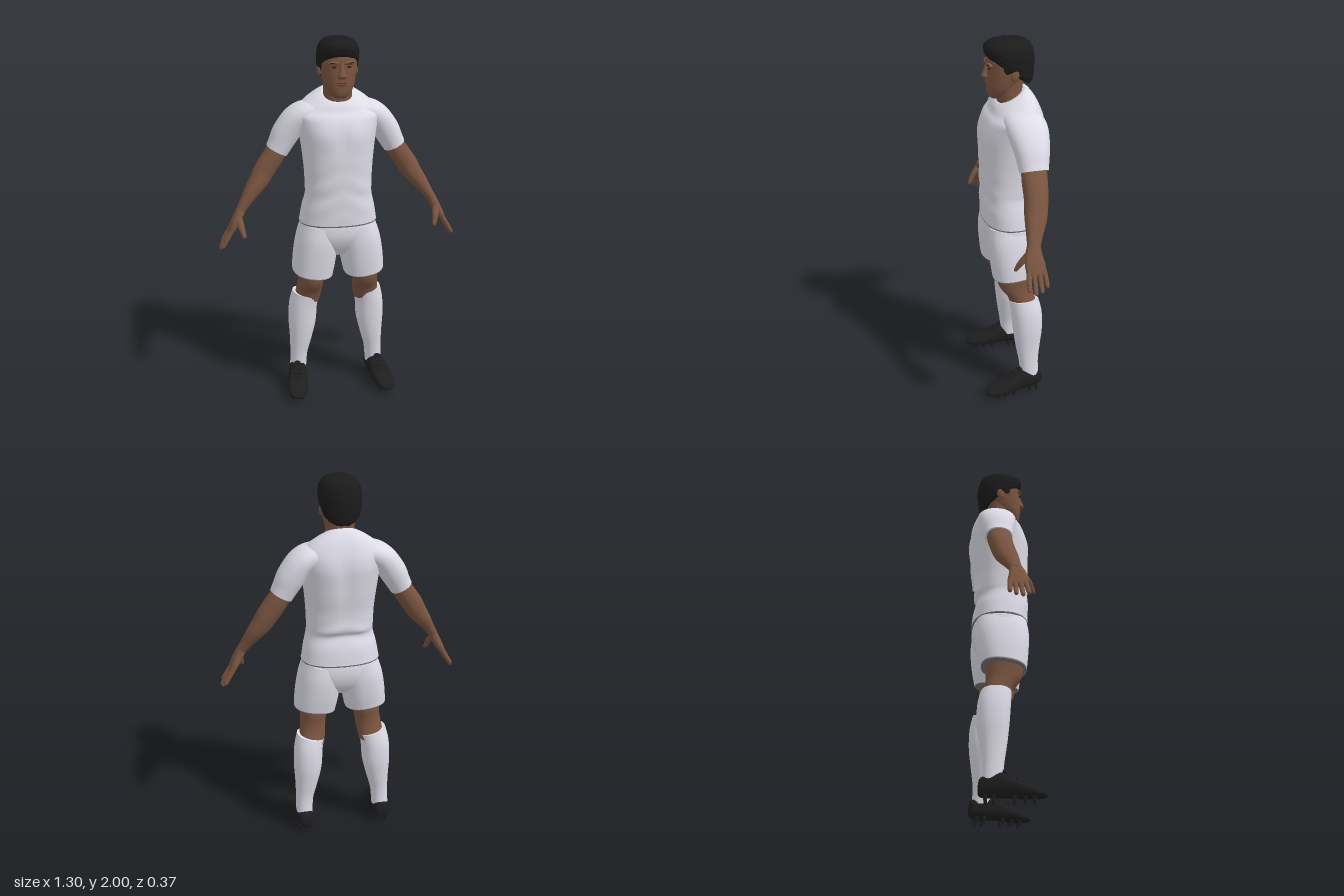
import * as THREE from 'three';

const mat = (name, color) => Object.assign(new THREE.MeshStandardMaterial({ color }), { name });
const SKIN = mat('brown skin', 0x7a5540);
const CLOTH = mat('white cloth', 0xdedde8);
const HAIR = mat('black hair', 0x1b1b1c);
const SHOE = mat('black boot', 0x1e1e1f);
const HEM = mat('grey hem', 0x77777e);
const LIP = mat('lips', 0x6b4038);
const EYE = mat('dark eyes', 0x2a201c);

// Smooth skin over cross-sections [x, y, halfWidth, zFront, zBack, tilt].
// Rings stand square to the path in the xy plane; tilt lifts the ring with z.
function loft(sections, { seg = 28, steps = 5, p = 2.2, shape } = {}) {
  const last = sections.length - 1, rows = [];
  const at = (i, k) => sections[THREE.MathUtils.clamp(i, 0, last)][k] ?? 0;
  for (let n = 0; n <= last * steps; n++) {
    const i = Math.min(Math.floor(n / steps), last - 1), t = n / steps - i;
    rows.push([0, 1, 2, 3, 4, 5].map((k) => {
      const [a, b, c, d] = [at(i - 1, k), at(i, k), at(i + 1, k), at(i + 2, k)];
      return b + 0.5 * t * (c - a + t * (2 * a - 5 * b + 4 * c - d + t * (3 * (b - c) + d - a)));
    }));
  }
  const pos = [], idx = [], v = new THREE.Vector3();
  const bend = (c) => Math.sign(c) * Math.abs(c) ** (2 / p);
  const ring = (r) => {
    const a = rows[Math.max(r - 1, 0)], b = rows[Math.min(r + 1, rows.length - 1)];
    const [x, y, w, zf, zb, tilt] = rows[r];
    const len = Math.hypot(b[0] - a[0], b[1] - a[1]) || 1;
    const ux = (b[1] - a[1]) / len, uy = -(b[0] - a[0]) / len;
    for (let j = 0; j < seg; j++) {
      const q = (j / seg) * Math.PI * 2, c = bend(Math.cos(q)) * w, s = bend(Math.sin(q)) * (zf - zb) / 2;
      v.set(x + ux * c, y + uy * c + tilt * s, (zf + zb) / 2 + s);
      if (shape) shape(v);
      pos.push(v.x, v.y, v.z);
    }
  };
  rows.forEach((_, r) => ring(r));
  for (let r = 0; r < rows.length - 1; r++) {
    for (let j = 0; j < seg; j++) {
      const a = r * seg + j, b = r * seg + (j + 1) % seg;
      idx.push(a, a + seg, b, b, a + seg, b + seg);
    }
  }
  // Flat end caps with their own vertices
  for (const r of [0, rows.length - 1]) {
    const base = pos.length / 3;
    ring(r);
    pos.push(rows[r][0], rows[r][1], (rows[r][3] + rows[r][4]) / 2);
    for (let j = 0; j < seg; j++) {
      const a = base + j, b = base + (j + 1) % seg;
      idx.push(base + seg, ...(r ? [b, a] : [a, b]));
    }
  }
  const g = new THREE.BufferGeometry();
  g.setAttribute('position', new THREE.Float32BufferAttribute(pos, 3));
  g.setIndex(idx);
  g.computeVertexNormals();
  return g;
}

function add(parent, name, geo, material) {
  const m = new THREE.Mesh(geo, material);
  m.name = name;
  parent.add(m);
  return m;
}

function blob(parent, name, material, [x, y, z], [a, b, c]) {
  const m = add(parent, name, new THREE.SphereGeometry(1, 16, 12), material);
  m.position.set(x, y, z);
  m.scale.set(a, b, c);
  return m;
}

const bump = (x, y, cx, cy, w, h) => Math.exp(-(((x - cx) / w) ** 2) - ((y - cy) / h) ** 2);

function makeHead() {
  const g = new THREE.Group();
  g.name = 'head';
  add(g, 'neck', loft([[0, 1.6, 0.085, 0.045, -0.09], [0, 1.68, 0.077, 0.047, -0.085],
    [0, 1.74, 0.076, 0.055, -0.08], [0, 1.8, 0.078, 0.05, -0.09]]), SKIN);
  add(g, 'face', loft([[0, 1.695, 0.026, 0.082, 0.03], [0, 1.71, 0.048, 0.097, 0], [0, 1.75, 0.074, 0.104, -0.05],
    [0, 1.8, 0.088, 0.105, -0.09], [0, 1.85, 0.096, 0.104, -0.11], [0, 1.9, 0.097, 0.102, -0.12],
    [0, 1.95, 0.085, 0.08, -0.11], [0, 1.98, 0.05, 0.03, -0.07]]), SKIN);
  add(g, 'nose', loft([[0, 1.88, 0.01, 0.106, 0.08], [0, 1.84, 0.014, 0.119, 0.08],
    [0, 1.812, 0.023, 0.13, 0.08], [0, 1.797, 0.017, 0.112, 0.08]], { seg: 16 }), SKIN);
  blob(g, 'upperLip', LIP, [0, 1.778, 0.102], [0.028, 0.006, 0.009]);
  blob(g, 'lowerLip', LIP, [0, 1.767, 0.101], [0.024, 0.007, 0.009]);
  for (const s of [1, -1]) {
    blob(g, 'eye', EYE, [s * 0.037, 1.857, 0.096], [0.014, 0.005, 0.006]);
    blob(g, 'brow', SKIN, [s * 0.038, 1.876, 0.095], [0.034, 0.01, 0.014]);
    blob(g, 'eyebrow', HAIR, [s * 0.04, 1.877, 0.104], [0.022, 0.004, 0.005]).rotation.z = s * 0.1;
    blob(g, 'ear', SKIN, [s * 0.097, 1.83, -0.02], [0.012, 0.034, 0.022]).rotation.x = -0.2;
    blob(g, 'sideburn', HAIR, [s * 0.093, 1.87, 0.015], [0.008, 0.035, 0.022]);
  }
  // Short curly hair, low at the nape and high at the forehead
  const curls = (v) => {
    const k = 1 + 0.022 * Math.sin(v.x * 150 + v.y * 60) * Math.sin(v.y * 140) * Math.sin(v.z * 150 + v.x * 40);
    v.set(v.x * k, 1.88 + (v.y - 1.88) * k, v.z * k);
  };
  add(g, 'hair', loft([[0, 1.835, 0.094, 0.102, -0.112, 0.7], [0, 1.85, 0.104, 0.11, -0.128, 0.64],
    [0, 1.89, 0.108, 0.114, -0.139, 0.45], [0, 1.93, 0.106, 0.113, -0.14, 0.22], [0, 1.967, 0.09, 0.1, -0.125, 0.07],
    [0, 1.99, 0.057, 0.066, -0.09, 0.02], [0, 1.998, 0.006, 0, -0.02]], { seg: 56, steps: 7, shape: curls }), HAIR);
  return g;
}

function makeShirt() {
  const g = new THREE.Group();
  g.name = 'shirt';
  const muscles = (v) => {
    const x = Math.abs(v.x);
    if (v.z > 0) v.z += 0.007 * bump(x, v.y, 0.09, 1.5, 0.06, 0.06) - 0.006 * bump(x, v.y, 0, 1.48, 0.025, 0.1)
      + 0.0025 * Math.sin(v.y * 55 + x * 30) * bump(x, v.y, 0.1, 1.2, 0.12, 0.13);
    else v.z += 0.012 * bump(x, v.y, 0, 1.48, 0.035, 0.16) - 0.006 * bump(x, v.y, 0.1, 1.56, 0.06, 0.08)
      + 0.004 * Math.sin(v.y * 70 + x * 25) * bump(x, v.y, 0.05, 1.2, 0.12, 0.06);
  };
  add(g, 'shirtBody', loft([[0, 1.02, 0.21, 0.135, -0.165], [0, 1.1, 0.196, 0.139, -0.157], [0, 1.17, 0.179, 0.139, -0.137],
    [0, 1.21, 0.178, 0.14, -0.15], [0, 1.3, 0.181, 0.14, -0.152], [0, 1.4, 0.19, 0.142, -0.17],
    [0, 1.5, 0.203, 0.138, -0.181], [0, 1.56, 0.215, 0.125, -0.181], [0, 1.61, 0.222, 0.107, -0.17, -0.1],
    [0, 1.655, 0.18, 0.085, -0.145, -0.3], [0, 1.69, 0.122, 0.07, -0.115, -0.45], [0, 1.705, 0.085, 0.056, -0.093, -0.53]],
  { seg: 56, p: 2.35, shape: muscles }), CLOTH);
  add(g, 'shirtHem', loft([[0, 1.014, 0.2095, 0.1345, -0.1645], [0, 1.021, 0.2115, 0.1365, -0.1665]],
    { seg: 56, steps: 1, p: 2.35 }), HEM);
  for (const s of [1, -1]) {
    add(g, 'sleeve', loft([[s * 0.13, 1.605, 0.062, 0.06, -0.15], [s * 0.18, 1.594, 0.066, 0.055, -0.158],
      [s * 0.225, 1.56, 0.069, 0.045, -0.158], [s * 0.27, 1.495, 0.071, 0.03, -0.15],
      [s * 0.3, 1.44, 0.064, 0.02, -0.138], [s * 0.319, 1.405, 0.06, 0.015, -0.132]]), CLOTH);
  }
  return g;
}

function makeShorts() {
  const g = new THREE.Group();
  g.name = 'shorts';
  add(g, 'seat', loft([[0, 1.05, 0.195, 0.122, -0.15], [0, 1.0, 0.208, 0.13, -0.161], [0, 0.94, 0.212, 0.126, -0.158],
    [0, 0.88, 0.19, 0.1, -0.135], [0, 0.83, 0.11, 0.06, -0.09]], { seg: 40, p: 2.35 }), CLOTH);
  for (const s of [1, -1]) {
    add(g, 'shortsLeg', loft([[s * 0.1, 1.0, 0.1, 0.12, -0.152], [s * 0.115, 0.92, 0.113, 0.128, -0.158],
      [s * 0.13, 0.82, 0.117, 0.122, -0.147], [s * 0.143, 0.727, 0.112, 0.11, -0.13, -0.1]], { p: 2.35 }), CLOTH);
    add(g, 'shortsHem', loft([[s * 0.143, 0.73, 0.108, 0.106, -0.126, -0.1], [s * 0.144, 0.722, 0.109, 0.107, -0.127, -0.1]],
      { steps: 1, p: 2.35 }), HEM);
  }
  return g;
}

function makeArm(s) {
  const g = new THREE.Group();
  g.name = s > 0 ? 'leftArm' : 'rightArm';
  add(g, 'bareArm', loft([[s * 0.29, 1.455, 0.05, 0, -0.12], [s * 0.335, 1.38, 0.055, 0.01, -0.12],
    [s * 0.388, 1.302, 0.056, 0.012, -0.11], [s * 0.42, 1.25, 0.051, 0.02, -0.1], [s * 0.458, 1.2, 0.042, 0.026, -0.084],
    [s * 0.5, 1.14, 0.03, 0.03, -0.052], [s * 0.532, 1.092, 0.024, 0.034, -0.03]]), SKIN);
  add(g, 'palm', loft([[s * 0.522, 1.107, 0.023, 0.034, -0.032], [s * 0.542, 1.07, 0.024, 0.048, -0.036],
    [s * 0.566, 1.025, 0.021, 0.056, -0.046], [s * 0.587, 0.985, 0.015, 0.05, -0.048], [s * 0.592, 0.975, 0.008, 0.044, -0.044]],
  { seg: 24, p: 2.6 }), SKIN);
  // Four fingers fanned along z
  [[0.041, 0.9], [0.015, 1.06], [-0.012, 1], [-0.037, 0.8]].forEach(([z, l]) => {
    const pt = (t, r) => [s * (0.58 + 0.06 * t * l), 1 - 0.1 * t * l, r, z * (1 + 0.2 * t) + r, z * (1 + 0.2 * t) - r];
    add(g, 'finger', loft([pt(0, 0.013), pt(0.5, 0.0125), pt(0.9, 0.0105), pt(0.99, 0.004)], { seg: 12, steps: 4, p: 2 }), SKIN);
  });
  const pt = (x, y, z, r) => [s * x, y, r, z + r, z - r];
  add(g, 'thumb', loft([pt(0.54, 1.075, 0.03, 0.018), pt(0.532, 1.035, 0.058, 0.018), pt(0.524, 1.005, 0.076, 0.014),
    pt(0.517, 0.98, 0.088, 0.01), pt(0.515, 0.974, 0.09, 0.003)], { seg: 14, p: 2 }), SKIN);
  return g;
}

function makeLeg(s) {
  const g = new THREE.Group();
  g.name = s > 0 ? 'leftLeg' : 'rightLeg';
  add(g, 'knee', loft([[s * 0.148, 0.8, 0.08, 0.09, -0.1], [s * 0.15, 0.71, 0.073, 0.09, -0.105],
    [s * 0.154, 0.655, 0.069, 0.075, -0.103], [s * 0.16, 0.6, 0.07, 0.036, -0.11], [s * 0.17, 0.54, 0.07, 0.016, -0.13]]), SKIN);
  add(g, 'sock', loft([[s * 0.175, 0.575, 0.076, 0.026, -0.133], [s * 0.19, 0.5, 0.078, 0.02, -0.149],
    [s * 0.196, 0.4, 0.077, 0.012, -0.151], [s * 0.205, 0.3, 0.063, 0, -0.139],
    [s * 0.217, 0.2, 0.049, -0.016, -0.126], [s * 0.222, 0.1, 0.046, -0.026, -0.128]]), CLOTH);

  // Boot is lofted heel to toe as [0, length, halfWidth, -bottom, -top], then laid flat
  const boot = new THREE.Group();
  boot.name = 'boot';
  boot.position.x = s * 0.236;
  boot.rotation.y = s * 0.14;
  g.add(boot);
  add(boot, 'upper', loft([[0, -0.146, 0.015, -0.045, -0.08], [0, -0.135, 0.036, -0.03, -0.12], [0, -0.09, 0.046, -0.025, -0.138],
    [0, -0.035, 0.05, -0.025, -0.148], [0, 0.02, 0.054, -0.025, -0.122], [0, 0.08, 0.058, -0.022, -0.092],
    [0, 0.14, 0.05, -0.022, -0.068], [0, 0.178, 0.028, -0.028, -0.052], [0, 0.188, 0.006, -0.034, -0.042]],
  { p: 2.4 }).rotateX(Math.PI / 2), SHOE);
  for (let i = 0; i < 4; i++) {
    const lace = add(boot, 'lace', new THREE.CapsuleGeometry(0.005, 0.04, 4, 8).rotateZ(Math.PI / 2), SHOE);
    lace.position.set(0, 0.142 - i * 0.014, -0.01 + i * 0.025);
  }
  blob(boot, 'laceKnot', SHOE, [0, 0.15, -0.02], [0.018, 0.01, 0.012]);
  for (const z of [-0.11, -0.07, 0.03, 0.08, 0.125]) {
    for (const x of [-0.028, 0.028]) {
      add(boot, 'stud', new THREE.CylinderGeometry(0.01, 0.007, 0.035, 10), SHOE).position.set(x, 0.0175, z);
    }
  }
  return g;
}

export function createModel() {
  const model = new THREE.Group();
  model.name = 'footballer';
  model.add(makeHead(), makeShirt(), makeShorts());
  for (const s of [1, -1]) model.add(makeArm(s), makeLeg(s));
  return model;
}
